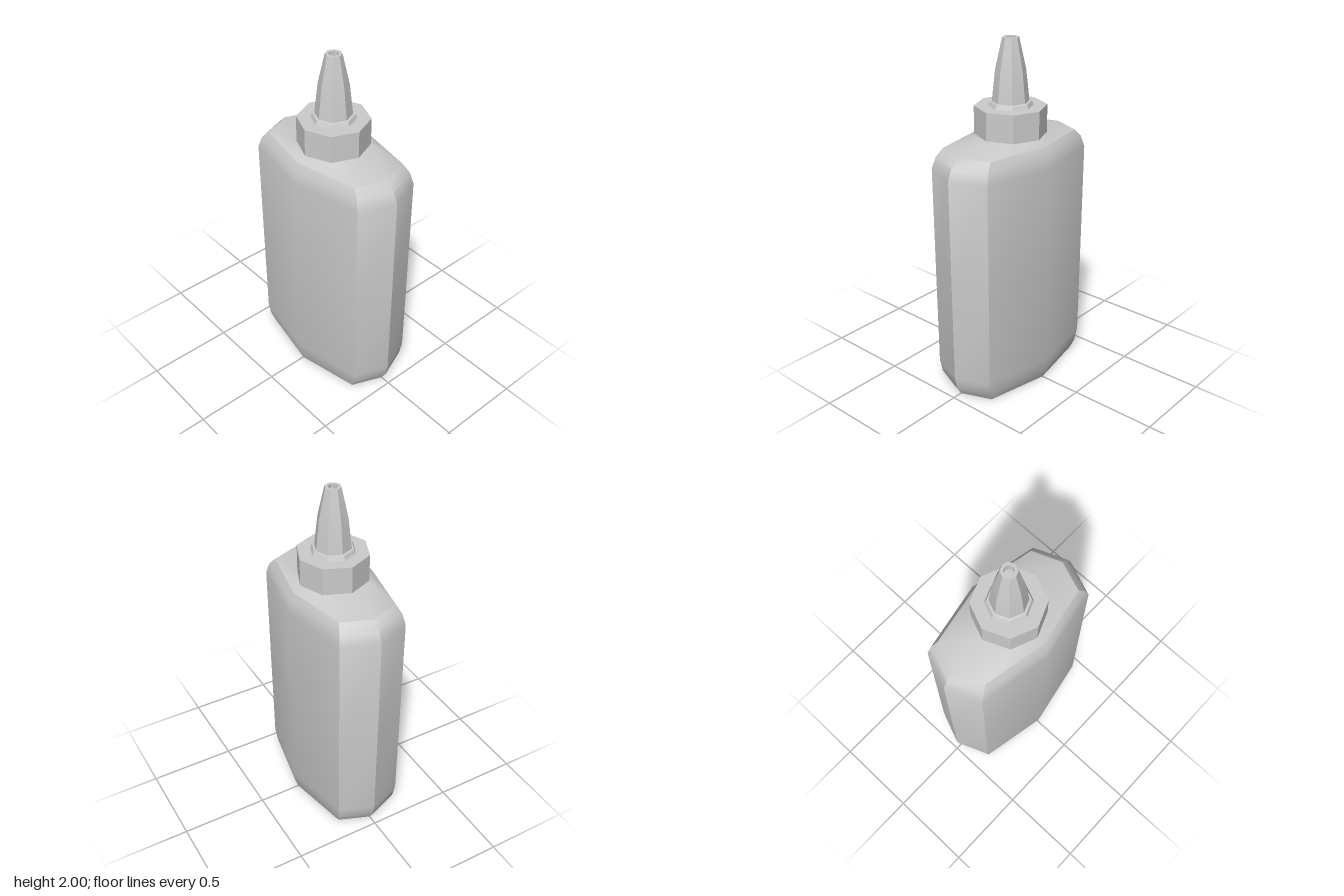
import * as THREE from 'three';
import { toCreasedNormals } from 'three/addons/utils/BufferGeometryUtils.js';

const material = new THREE.MeshStandardMaterial({ color: 0xcccccc });

function addPart(group, name, geometry, crease = 0.55) {
  const mesh = new THREE.Mesh(toCreasedNormals(geometry, crease), material);
  mesh.name = name;
  group.add(mesh);
}

// Eight-sided ring: half width at the sides, corner position, half depth at the front
function ring([y, sideX, cornerX, cornerZ, frontZ]) {
  return [
    [0, y, frontZ], [cornerX, y, cornerZ], [sideX, y, 0], [cornerX, y, -cornerZ],
    [0, y, -frontZ], [-cornerX, y, -cornerZ], [-sideX, y, 0], [-cornerX, y, cornerZ],
  ];
}

// Skin through rings listed from bottom to top, with an optional flat base
function loft(levels, closeBase = false) {
  const positions = [];
  const rings = levels.map(ring);
  for (let i = 0; i < rings.length - 1; i++) {
    for (let j = 0; j < 8; j++) {
      const k = (j + 1) % 8;
      const a = rings[i][j], b = rings[i][k], c = rings[i + 1][k], d = rings[i + 1][j];
      positions.push(...a, ...b, ...c, ...a, ...c, ...d);
    }
  }
  if (closeBase) {
    const centre = [0, levels[0][0], 0];
    for (let j = 0; j < 8; j++) positions.push(...centre, ...rings[0][(j + 1) % 8], ...rings[0][j]);
  }
  const geometry = new THREE.BufferGeometry();
  geometry.setAttribute('position', new THREE.Float32BufferAttribute(positions, 3));
  return geometry;
}

// Octagonal turned part from [radius, height] pairs
function turned(profile) {
  return new THREE.LatheGeometry(profile.map(([r, y]) => new THREE.Vector2(r, y)), 8).toNonIndexed();
}

export function createModel() {
  const group = new THREE.Group();
  group.name = 'squeezeBottle';

  // Body with rounded lower and upper rims
  const shoulderRim = [1.44, 0.42, 0.355, 0.17, 0.24];
  addPart(group, 'bottleBody', loft([
    [0, 0.44, 0.37, 0.175, 0.25],
    [0.05, 0.472, 0.396, 0.189, 0.268],
    [0.13, 0.488, 0.41, 0.197, 0.278],
    [0.7, 0.492, 0.412, 0.199, 0.28],
    [1.33, 0.495, 0.415, 0.2, 0.281],
    [1.395, 0.468, 0.393, 0.189, 0.268],
    shoulderRim,
  ], true));

  // Gently sloping shoulder up to the collar
  addPart(group, 'shoulder', loft([shoulderRim, [1.473, 0.2, 0.141, 0.141, 0.2]]), 0.8);

  // Screw collar
  addPart(group, 'collar', turned([[0, 1.47], [0.2, 1.47], [0.2, 1.63], [0, 1.63]]));

  // Stepped nozzle base
  addPart(group, 'nozzleBase', turned([[0.125, 1.63], [0.115, 1.652], [0.09, 1.657]]));

  // Tapered nozzle with a small recessed opening
  addPart(group, 'nozzle', turned([
    [0.102, 1.655], [0.083, 1.83], [0.045, 2], [0.027, 2], [0.027, 1.96], [0, 1.96],
  ]));

  return group;
}
